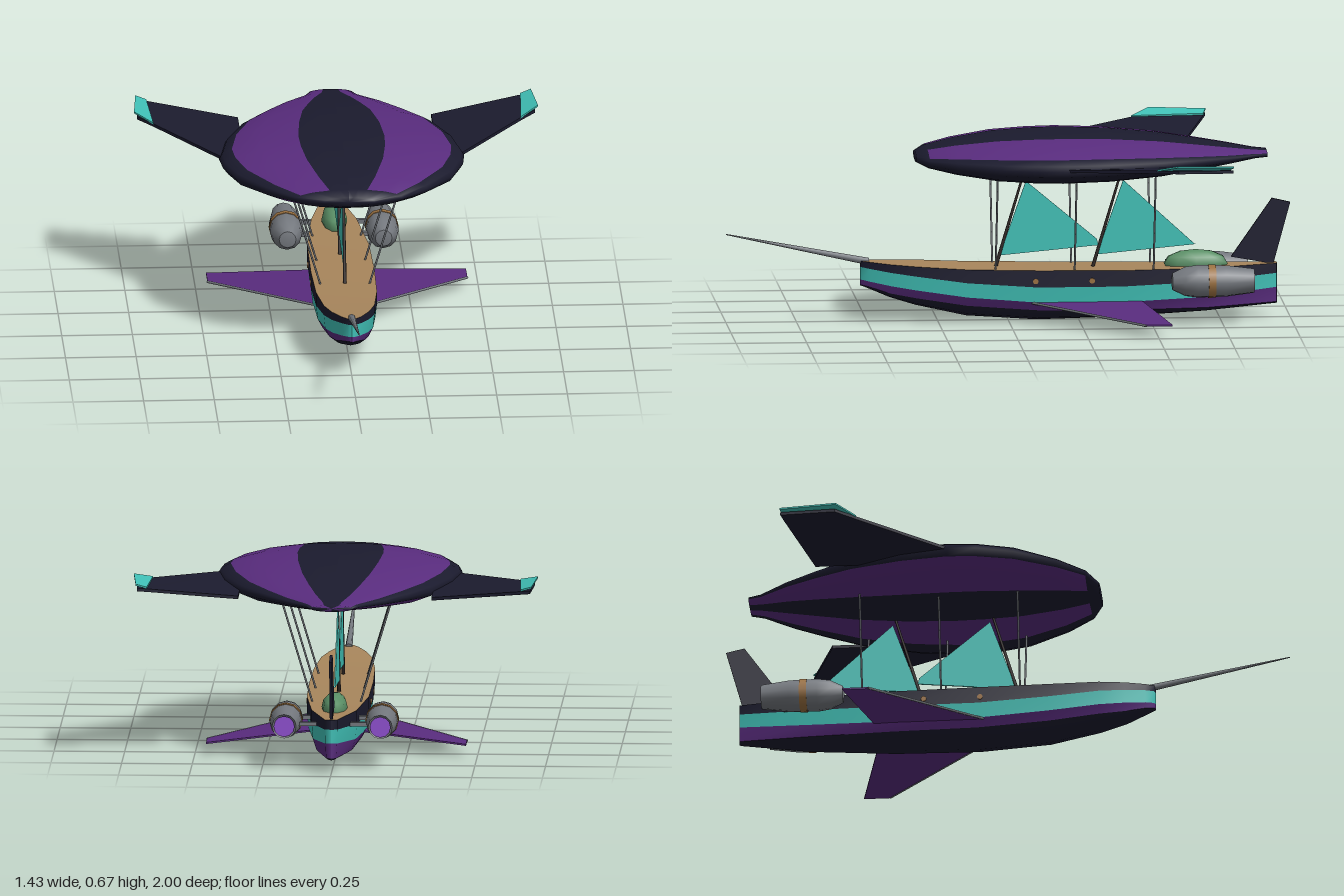
import * as THREE from 'three';
import { toCreasedNormals } from 'three/addons/utils/BufferGeometryUtils.js';

const V = (x, y, z) => new THREE.Vector3(x, y, z);

function colour(name, hex) {
  const m = new THREE.MeshStandardMaterial({ color: hex });
  m.name = name;
  return m;
}

// Skin between successive rings of points; pick(i, j) gives the material group of each quad
function loft(rings, pick = () => 0) {
  const n = rings[0].length, buckets = [];
  for (let i = 0; i < rings.length - 1; i++) for (let j = 0; j < n - 1; j++) {
    const a = i * n + j, b = a + 1, d = a + n, c = d + 1;
    (buckets[pick(i, j)] ??= []).push(a, b, d, b, c, d);
  }
  const g = new THREE.BufferGeometry().setFromPoints(rings.flat());
  g.setIndex(buckets.flat());
  let start = 0;
  buckets.forEach((b, k) => { g.addGroup(start, b.length, k); start += b.length; });
  g.computeVertexNormals();
  return g;
}

// Thin plate from a 2D outline, centred on its own thickness
function plate(points, depth) {
  const shape = new THREE.Shape(points.map(([u, v]) => new THREE.Vector2(u, v)));
  return new THREE.ExtrudeGeometry(shape, { depth, bevelEnabled: false }).translate(0, 0, -depth / 2);
}
// Upright plate on the centre line, outline in (z, y)
const uprightPlate = (points, depth) => plate(points, depth).rotateY(-Math.PI / 2);
// Wing plate, outline in (x, z), lifted by a height rule
function wingPlate(points, side, depth, height) {
  const g = plate(points.map(([x, z]) => [side * x, -z]), depth).rotateX(-Math.PI / 2);
  const p = g.attributes.position;
  for (let i = 0; i < p.count; i++) p.setY(i, p.getY(i) + height(Math.abs(p.getX(i))));
  g.computeVertexNormals();
  return g;
}

// Tapered rod between two points
function rod(a, b, r0, r1 = r0) {
  const dir = b.clone().sub(a), len = dir.length();
  const g = new THREE.CylinderGeometry(r1, r0, len, 8);
  g.applyQuaternion(new THREE.Quaternion().setFromUnitVectors(V(0, 1, 0), dir.normalize()));
  return g.translate(...a.clone().add(b).multiplyScalar(0.5).toArray());
}

export function createModel() {
  const group = new THREE.Group();
  const navy = colour('navy', 0x1b1b2e);
  const purple = colour('purple', 0x592c7e);
  const teal = colour('teal', 0x40c0b6);
  const wood = colour('deck wood', 0xa8865c);
  const grey = colour('grey metal', 0x74787e);
  const green = colour('green', 0x5a8f66);
  const brass = colour('brass', 0x9a7040);
  const glow = colour('engine glow', 0x8f4fd0);
  const dark = colour('dark mast', 0x2c2422);
  const add = (name, geo, mat) => {
    const m = new THREE.Mesh(geo, mat);
    m.name = name;
    group.add(m);
  };

  // Hull stations: z, half width, deck, three stripe lines, keel
  const stations = [
    [0.525, 0, 0.222, 0.2, 0.155, 0.137, 0.132],
    [0.52, 0.015, 0.222, 0.2, 0.155, 0.137, 0.132],
    [0.49, 0.035, 0.22, 0.196, 0.15, 0.13, 0.12],
    [0.42, 0.066, 0.215, 0.186, 0.138, 0.11, 0.09],
    [0.33, 0.09, 0.21, 0.175, 0.125, 0.095, 0.062],
    [0.15, 0.108, 0.2, 0.152, 0.1, 0.068, 0.022],
    [-0.1, 0.113, 0.195, 0.135, 0.08, 0.05, 0.005],
    [-0.4, 0.11, 0.192, 0.135, 0.078, 0.047, 0.012],
    [-0.7, 0.08, 0.193, 0.145, 0.09, 0.05, 0.03],
    [-0.95, 0.022, 0.2, 0.165, 0.115, 0.062, 0.055],
    [-0.953, 0, 0.2, 0.165, 0.115, 0.062, 0.055],
  ];
  const sections = stations.map(([z, w, t, l1, l2, l3, b]) => {
    const half = [[w, t], [w, l1], [w * 0.94, l2], [w * 0.78, l3], [w * 0.45, b + (l3 - b) * 0.3]];
    return [
      ...half.map(([x, y]) => V(x, y, z)), V(0, b, z),
      ...half.reverse().map(([x, y]) => V(-x, y, z)),
    ];
  });
  const band = (from, to) => loft(sections.map(s => s.slice(from, to + 1)));
  add('deck', loft(sections.map(s => [s[10], s[0]])), wood);
  [['hullTopBand', navy], ['hullMiddleStripe', teal], ['hullLowerStripe', purple]].forEach(([name, mat], k) => {
    add(name + 'Left', band(k, k + 1), mat);
    add(name + 'Right', band(9 - k, 10 - k), mat);
  });
  add('hullBottom', band(3, 7), navy);
  add('bowsprit', rod(V(0, 0.218, 0.495), V(0, 0.32, 1), 0.013, 0.002), grey);

  // Balloon: z, half width, half height
  const balloon = [
    [0.33, 0, 0], [0.33, 0.09, 0.017], [0.29, 0.19, 0.034], [0.195, 0.285, 0.054],
    [0.05, 0.385, 0.074], [-0.08, 0.425, 0.081], [-0.18, 0.434, 0.083], [-0.35, 0.406, 0.079],
    [-0.53, 0.342, 0.065], [-0.66, 0.262, 0.047], [-0.77, 0.185, 0.031],
    [-0.87, 0.095, 0.016], [-0.915, 0.076, 0.012], [-0.915, 0, 0],
  ];
  // Angles clockwise from the top; purple gores lie between the paired limits
  const angles = [0, 10, 20.5, 42, 63.5, 77, 90, 105, 126, 148, 164, 180, 195, 210, 231, 253, 270, 283, 296.5, 318, 339.5, 350, 360];
  const gores = [[20.5, 63.5], [148, 180], [210, 253], [296.5, 339.5]];
  const goreColour = j => (gores.some(([a, b]) => angles[j] >= a && angles[j] < b) ? 1 : 0);
  const balloonRings = balloon.map(([z, w, h]) => angles.map(deg => {
    const a = THREE.MathUtils.degToRad(deg);
    return V(w * Math.sin(a), 0.593 + h * Math.cos(a), z);
  }));
  add('balloon', loft(balloonRings, (i, j) => (i < 2 ? 0 : goreColour(j))), [navy, purple]);

  // Masts and sails
  for (const [k, z] of [0, -0.345].entries()) {
    add('mast' + (k + 1), rod(V(0, 0.19, z + 0.045), V(0, 0.53, z - 0.056), 0.0065, 0.004), dark);
    add('sail' + (k + 1), uprightPlate([[z + 0.03, 0.235], [z - 0.063, 0.5], [z - 0.315, 0.29 - 0.02 * k], [z - 0.32, 0.268]], 0.005), teal);
  }

  // Tail fin and cabin dome
  add('tailFin', uprightPlate([[-0.79, 0.222], [-0.935, 0.43], [-1, 0.415], [-0.94, 0.195]], 0.01), navy);
  add('cabinDome', new THREE.SphereGeometry(1, 10, 6).scale(0.046, 0.05, 0.118).translate(0, 0.2, -0.665), green);

  const upperHeight = x => (x < 0.65 ? 0.588 + (x - 0.36) * 0.12 : 0.623 + (x - 0.65) * 0.1);
  const tipHeight = x => 0.629 + (x - 0.65) * 0.32;
  const lowerHeight = x => 0.08 - (x - 0.08) * 0.09;
  const engineProfile = [[0, -0.855], [0.036, -0.855], [0.043, -0.86], [0.056, -0.76], [0.058, -0.66], [0.052, -0.615], [0.03, -0.57], [0, -0.565]];

  for (const s of [1, -1]) {
    const name = s > 0 ? 'Left' : 'Right';
    // Balloon wings with raised coloured tips
    add('upperWing' + name, wingPlate([[0.342, -0.653], [0.65, -0.737], [0.695, -0.748], [0.705, -0.555], [0.65, -0.485], [0.342, -0.07]], s, 0.011, upperHeight), navy);
    add('upperWingTip' + name, wingPlate([[0.662, -0.74], [0.7, -0.75], [0.715, -0.55], [0.65, -0.483]], s, 0.006, tipHeight), teal);
    // Hull wings with a metal leading edge
    add('lowerWing' + name, wingPlate([[0.06, -0.04], [0.46, -0.46], [0.46, -0.55], [0.06, -0.46]], s, 0.006, lowerHeight), purple);
    add('lowerWingEdge' + name, rod(V(s * 0.08, lowerHeight(0.08), -0.058), V(s * 0.46, lowerHeight(0.46), -0.457), 0.0045), grey);

    // Engine pod with band, exhaust and struts
    const lathe = new THREE.LatheGeometry(engineProfile.map(([r, z]) => new THREE.Vector2(r, z)), 12);
    add('engine' + name, toCreasedNormals(lathe.rotateX(Math.PI / 2), 0.6).translate(s * 0.17, 0.16, 0), grey);
    const ring = new THREE.CylinderGeometry(0.0595, 0.0595, 0.026, 12, 1).rotateX(Math.PI / 2);
    add('engineBand' + name, ring.translate(s * 0.17, 0.16, -0.71), brass);
    const disc = new THREE.CircleGeometry(0.037, 12).rotateY(Math.PI);
    add('exhaust' + name, disc.translate(s * 0.17, 0.16, -0.862), glow);
    for (const z of [-0.64, -0.78]) add('engineStrut' + name, new THREE.BoxGeometry(0.12, 0.014, 0.02).translate(s * 0.11, 0.157, z), grey);

    // Rigging lines and portholes
    for (const z of [0.05, -0.23, -0.51]) add('riggingLine' + name, rod(V(s * 0.085, 0.19, z), V(s * 0.19, 0.54, z), 0.0035), grey);
    for (const z of [-0.09, -0.29]) {
      const hole = new THREE.CylinderGeometry(0.01, 0.01, 0.008, 10).rotateZ(Math.PI / 2);
      add('porthole' + name, hole.translate(s * 0.112, 0.157, z), brass);
    }
  }
  return group;
}
